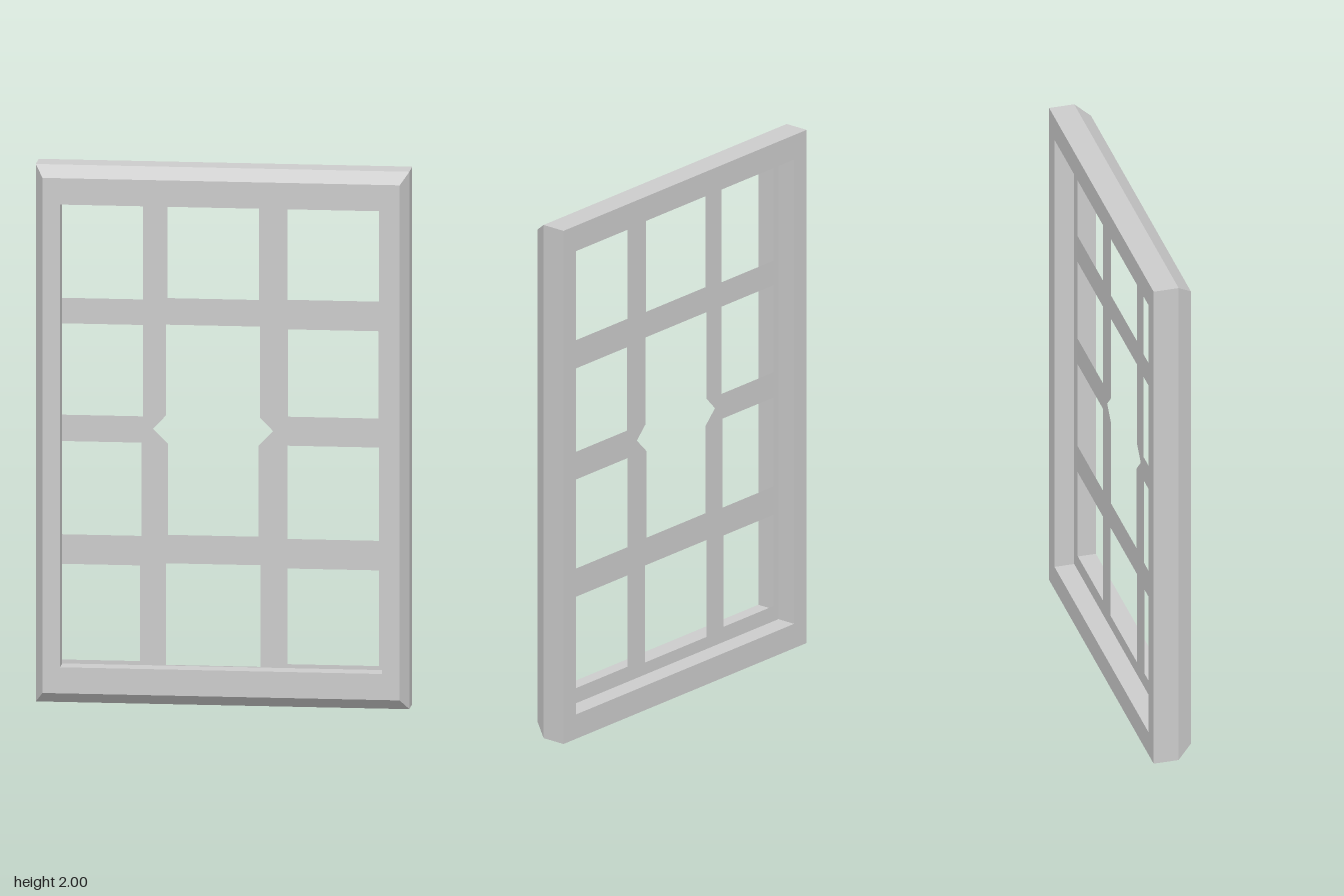
import * as THREE from 'three';

const material = new THREE.MeshStandardMaterial({ color: 0xcccccc, flatShading: true, side: THREE.DoubleSide });

// Mitred rectangular frame swept from a closed profile of [half width, bottom, top, z]
function frameGeometry(profile) {
  const rings = profile.map(([w, b, t, z]) => [[-w, b, z], [w, b, z], [w, t, z], [-w, t, z]]);
  const pos = [];
  rings.forEach((ring, i) => {
    const next = rings[(i + 1) % rings.length];
    for (let k = 0; k < 4; k++) {
      const m = (k + 1) % 4;
      pos.push(...ring[k], ...ring[m], ...next[m], ...ring[k], ...next[m], ...next[k]);
    }
  });
  const geo = new THREE.BufferGeometry();
  geo.setAttribute('position', new THREE.Float32BufferAttribute(pos, 3));
  geo.computeVertexNormals();
  return geo;
}

const outline = (points) => points.map(([x, y]) => new THREE.Vector2(x, y));
const rect = (x0, x1, y0, y1) => outline([[x0, y0], [x1, y0], [x1, y1], [x0, y1]]);

export function createModel() {
  const group = new THREE.Group();
  const add = (name, geo) => {
    const mesh = new THREE.Mesh(geo, material);
    mesh.name = name;
    group.add(mesh);
  };

  // Frame: straight sides, bevelled front edge, rebate at the back
  add('frame', frameGeometry([
    [0.685, 0, 2, -0.075],
    [0.685, 0, 2, 0.02],
    [0.655, 0.043, 1.96, 0.075],
    [0.59, 0.14, 1.862, 0.075],
    [0.59, 0.14, 1.862, 0.003],
    [0.615, 0.095, 1.905, 0.003],
    [0.615, 0.095, 1.905, -0.075],
  ]));

  // Lattice: thin sheet resting in the rebate, with cut-out openings
  const sheet = new THREE.Shape(rect(-0.615, 0.615, 0.095, 1.905));
  const openings = [
    // left column
    rect(-0.592, -0.305, 0.154, 0.51),
    rect(-0.592, -0.3, 0.62, 0.967),
    rect(-0.592, -0.295, 1.065, 1.405),
    rect(-0.592, -0.295, 1.5, 1.862),
    // right column
    rect(0.235, 0.572, 0.154, 0.51),
    rect(0.235, 0.572, 0.62, 0.967),
    rect(0.238, 0.57, 1.075, 1.4),
    rect(0.235, 0.572, 1.51, 1.857),
    // centre column, the middle opening notched on both sides
    rect(-0.21, 0.137, 0.142, 0.52),
    outline([[-0.203, 0.626], [0.13, 0.626], [0.13, 0.965], [0.183, 1.02], [0.134, 1.07],
      [0.134, 1.408], [-0.21, 1.408], [-0.21, 1.07], [-0.257, 1.02], [-0.203, 0.965]]),
    rect(-0.205, 0.132, 1.507, 1.862),
  ];
  openings.forEach((points) => sheet.holes.push(new THREE.Path(points)));
  add('lattice', new THREE.ShapeGeometry(sheet));

  return group;
}
